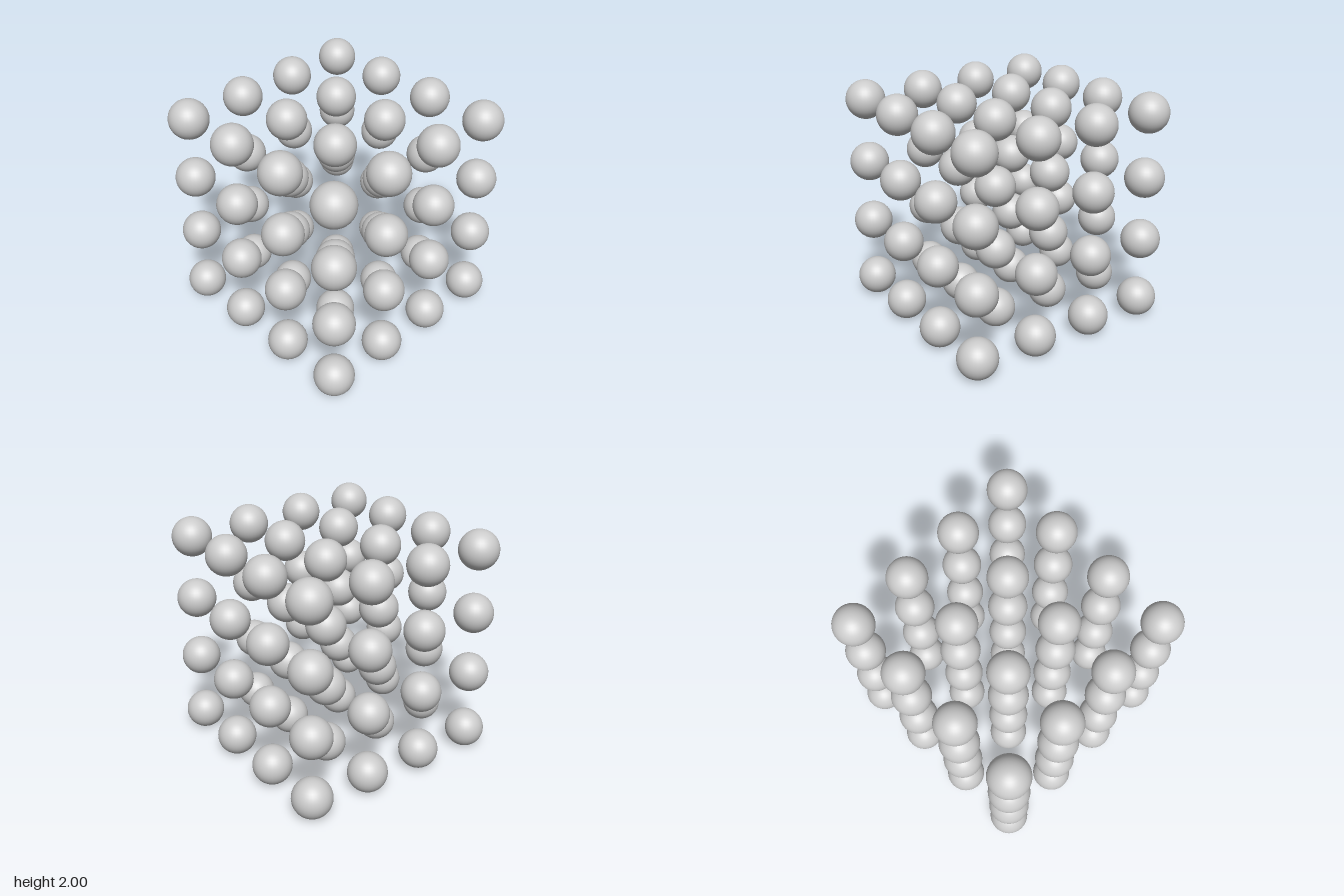
import * as THREE from 'three';

const COUNT = 4;            // spheres along each axis
const RADIUS = 1 / 6;
const SPACING = (2 - 2 * RADIUS) / (COUNT - 1);

export function createModel() {
  const model = new THREE.Group();
  model.name = 'sphereLattice';

  const material = new THREE.MeshStandardMaterial({ color: 0xcccccc });
  const sphere = new THREE.SphereGeometry(RADIUS, 32, 20);
  const offset = (i) => (i - (COUNT - 1) / 2) * SPACING;

  // One group per horizontal layer, each a square grid of spheres
  for (let j = 0; j < COUNT; j++) {
    const layer = new THREE.Group();
    layer.name = `layer${j + 1}`;
    layer.position.y = RADIUS + j * SPACING;
    for (let i = 0; i < COUNT; i++) {
      for (let k = 0; k < COUNT; k++) {
        const ball = new THREE.Mesh(sphere, material);
        ball.name = `sphere${i + 1}_${k + 1}`;
        ball.position.set(offset(i), 0, offset(k));
        layer.add(ball);
      }
    }
    model.add(layer);
  }
  return model;
}
